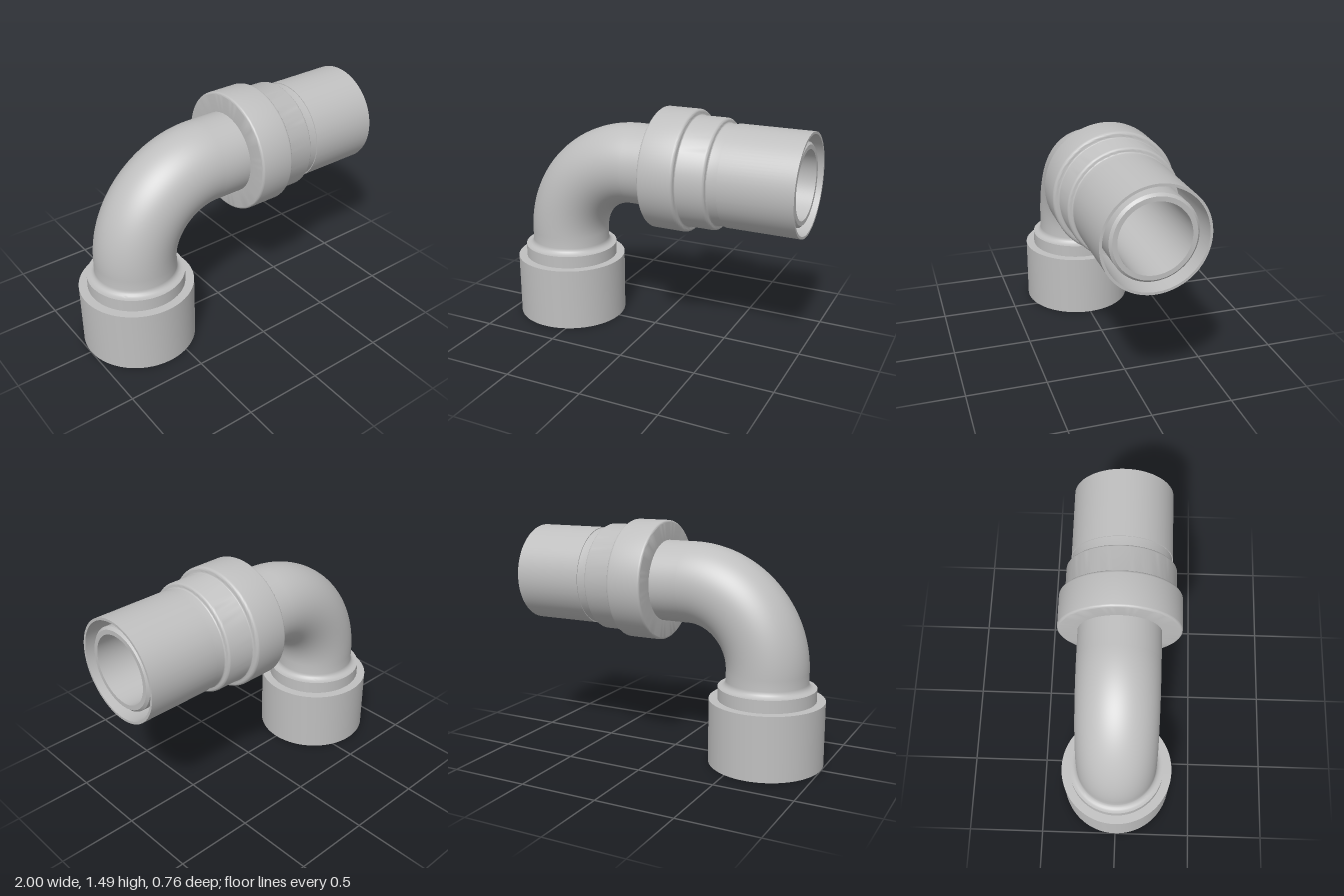
import * as THREE from 'three';
import { toCreasedNormals } from 'three/addons/utils/BufferGeometryUtils.js';

const SIDES = 96;
const PIPE = 0.257, BORE = 0.212;         // outer and inner pipe radius
const AXIS_X = -0.637, AXIS_Y = 1.103;    // upright and level pipe axes
const BEND = 0.51;                        // bend radius along the axis
const CX = AXIS_X + BEND, CY = AXIS_Y - BEND;

// Quarter-round profile points [radius, height] about a centre
function round(r, h, size, from, to) {
  const pts = [];
  for (let i = 0; i <= 5; i++) {
    const a = THREE.MathUtils.degToRad(from + (to - from) * i / 5);
    pts.push([r + size * Math.cos(a), h + size * Math.sin(a)]);
  }
  return pts;
}

// Revolved part with crisp steps and smooth rounds
function turned(profile) {
  const pts = profile.map(([r, h]) => new THREE.Vector2(r, h));
  return toCreasedNormals(new THREE.LatheGeometry(pts, SIDES), 0.55);
}

// Quarter bend; the inner wall has its faces turned inward
function bend(radius, inward) {
  const geo = new THREE.TorusGeometry(BEND, radius, SIDES, 48, Math.PI / 2);
  geo.rotateZ(Math.PI / 2);
  if (inward) {
    const idx = geo.index;
    for (let i = 0; i < idx.count; i += 3) {
      const b = idx.getX(i + 1);
      idx.setX(i + 1, idx.getX(i + 2));
      idx.setX(i + 2, b);
    }
    const n = geo.attributes.normal;
    for (let i = 0; i < n.count; i++) n.setXYZ(i, -n.getX(i), -n.getY(i), -n.getZ(i));
  }
  return geo;
}

export function createModel() {
  const model = new THREE.Group();
  model.name = 'pipeElbow';
  const grey = new THREE.MeshStandardMaterial({ color: 0xbfbfbf });
  grey.name = 'light grey';

  const add = (name, geo, x, y) => {
    const mesh = new THREE.Mesh(geo, grey);
    mesh.name = name;
    mesh.position.set(x, y, 0);
    model.add(mesh);
    return mesh;
  };

  // Curved pipe, outside and bore
  add('elbowOuter', bend(PIPE, false), CX, CY);
  add('elbowBore', bend(BORE, true), CX, CY);

  // Upright socket: bore, stepped recess, outer wall, neck and fillet to the pipe
  add('lowerSocket', turned([
    [BORE, CY], [BORE, 0.41], [0.26, 0.41], [0.26, 0.2],
    [0.347, 0.2], [0.347, 0], [0.362, 0], [0.362, 0.41],
    [0.307, 0.41], [0.307, 0.49],
    ...round(PIPE + 0.037, 0.527, 0.037, 270, 180),
    [PIPE, CY],
  ]), AXIS_X, 0);

  // Level coupling: collar, step, sleeve, end gap and inner pipe
  const coupling = turned([
    [PIPE, CX], [PIPE, 0.055],
    ...round(0.367, 0.07, 0.015, -90, 0),
    ...round(0.362, 0.268, 0.02, 0, 90),
    ...round(0.355, 0.298, 0.01, 270, 180),
    ...round(0.325, 0.452, 0.02, 0, 90),
    ...round(0.323, 0.482, 0.01, 270, 180),
    [0.313, 0.54], [0.3175, 0.54], [0.3175, 1],
    [0.302, 1], [0.302, 0.55], [0.278, 0.55], [0.278, 0.6],
    [0.255, 0.6], [0.255, 0.965], [0.24, 0.98],
    [BORE, 0.98], [BORE, CX],
  ]);
  add('sideCoupling', coupling, 0, AXIS_Y).rotation.z = -Math.PI / 2;

  return model;
}
